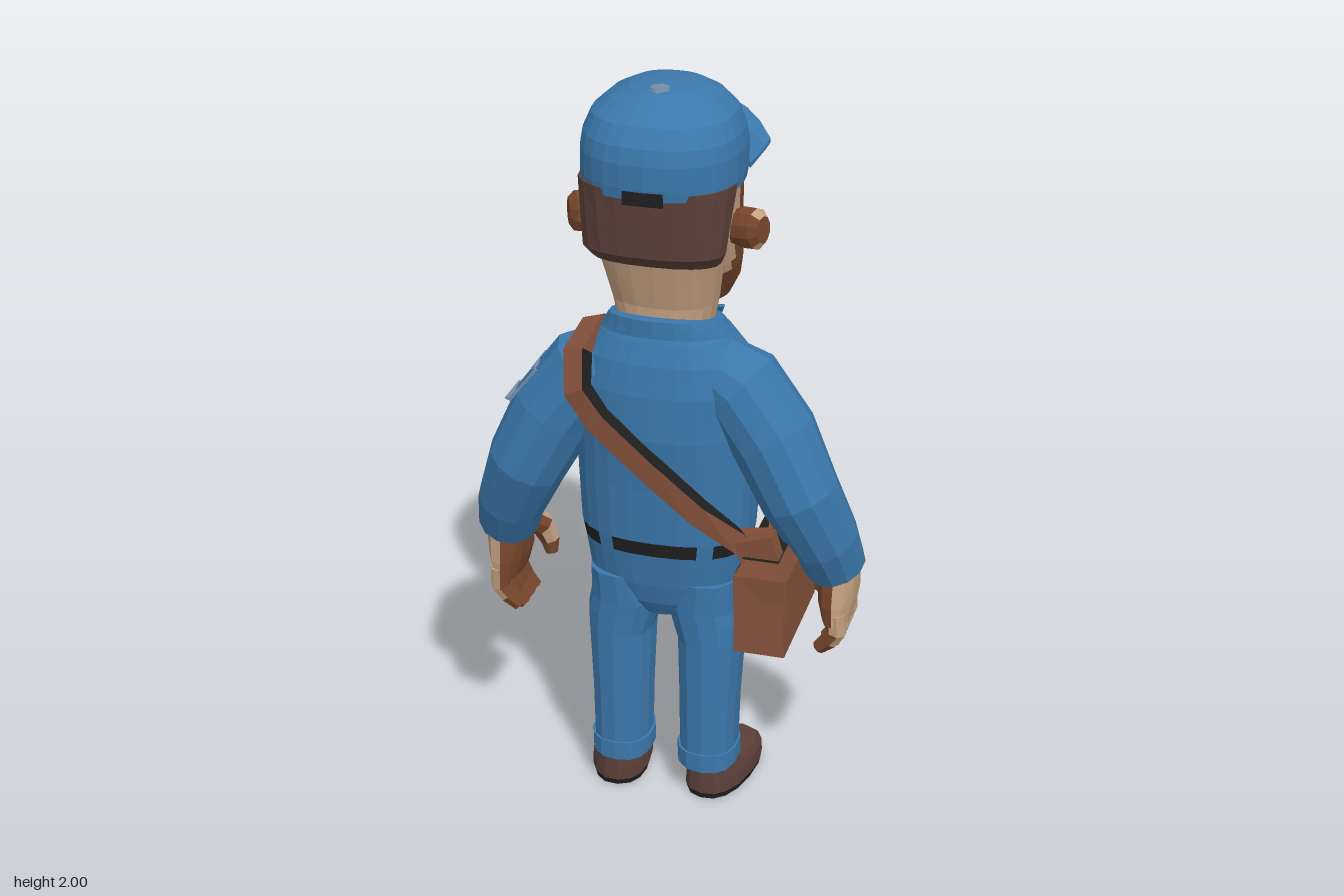
import * as THREE from 'three';

const mat = (name, color) => {
  const m = new THREE.MeshStandardMaterial({ color });
  m.name = name;
  return m;
};
const V = (x, y, z) => new THREE.Vector3(x, y, z);

// Horizontal rounded cross-section between z = f and z = b; tilt raises it toward +z
function ring(y, f, b, rx, cx = 0, n = 20, p = 2.4, tilt = 0) {
  const cz = (f + b) / 2, rz = (b - f) / 2, pts = [];
  const pw = (v) => Math.sign(v) * Math.pow(Math.abs(v), 2 / p);
  for (let i = 0; i < n; i++) {
    const a = (i / n) * Math.PI * 2 + Math.PI / 2;
    const z = rz * pw(Math.sin(a));
    pts.push(V(cx + rx * pw(Math.cos(a)), y + tilt * z, cz + z));
  }
  return pts;
}

// Round cross-sections along a path of [x, y, z, radius]
function limbRings(path, n = 12) {
  const c = path.map((p) => V(p[0], p[1], p[2]));
  return c.map((o, i) => {
    const t = c[Math.min(i + 1, c.length - 1)].clone().sub(c[Math.max(i - 1, 0)]).normalize();
    const u = t.clone().cross(V(0, 0, 1)).normalize(), v = t.clone().cross(u);
    return Array.from({ length: n }, (_, k) => {
      const a = (k / n) * Math.PI * 2, r = path[i][3];
      return o.clone().addScaledVector(u, r * Math.cos(a)).addScaledVector(v, r * Math.sin(a));
    });
  });
}

// Faceted skin over cross-sections; pick(centre, side) chooses the material index
function loft(name, rings, mats, pick = () => 0, closed = false) {
  const list = [].concat(mats), tris = [], n = rings[0].length;
  const count = closed ? rings.length : rings.length - 1;
  for (let i = 0; i < count; i++) {
    const A = rings[i], B = rings[(i + 1) % rings.length];
    for (let j = 0; j < n; j++) {
      const k = (j + 1) % n;
      const mid = V(0, 0, 0).add(A[j]).add(A[k]).add(B[j]).add(B[k]).multiplyScalar(0.25);
      const m = pick(mid, j);
      tris.push([A[j], A[k], B[k], m], [A[j], B[k], B[j], m]);
    }
  }
  if (!closed) [rings[0], rings[rings.length - 1]].forEach((R, e) => {
    const c = V(0, 0, 0);
    R.forEach((q) => c.addScaledVector(q, 1 / n));
    const m = pick(c, -1);
    for (let j = 0; j < n; j++) {
      const a = R[j], b = R[(j + 1) % n];
      tris.push(e ? [c, a, b, m] : [c, b, a, m]);
    }
  });
  let volume = 0;
  for (const [a, b, c] of tris) volume += a.dot(b.clone().cross(c));
  const pos = [], geo = new THREE.BufferGeometry();
  list.forEach((_, m) => {
    const start = pos.length / 3;
    for (const t of tris) if (t[3] === m) {
      const order = volume > 0 ? [t[0], t[1], t[2]] : [t[0], t[2], t[1]];
      order.forEach((q) => pos.push(q.x, q.y, q.z));
    }
    geo.addGroup(start, pos.length / 3 - start, m);
  });
  geo.setAttribute('position', new THREE.Float32BufferAttribute(pos, 3));
  geo.computeVertexNormals();
  const mesh = new THREE.Mesh(geo, list.length > 1 ? list : list[0]);
  mesh.name = name;
  return mesh;
}

function box(name, size, at, material, rot = [0, 0, 0]) {
  const m = new THREE.Mesh(new THREE.BoxGeometry(...size), material);
  m.name = name;
  m.position.set(...at);
  m.rotation.set(...rot);
  return m;
}

export function createModel() {
  const blue = mat('blue cloth', 0x3b78ac), skin = mat('skin', 0xc5a180);
  const brown = mat('beard brown', 0x77462c), dark = mat('dark brown', 0x5c4039);
  const black = mat('black', 0x1f1f20), grey = mat('grey', 0x768ba7), leather = mat('leather', 0x82503a);
  const teeth = mat('teeth', 0xcbbcac);
  const g = new THREE.Group();
  g.name = 'uniformedMan';
  const add = (...m) => g.add(...m);

  // Head, with the beard and sideburns as face colours
  const headRows = [[1.385, -.12, 0, .09], [1.41, -.17, .04, .13], [1.46, -.185, .07, .155], [1.51, -.187, .13, .166],
    [1.54, -.181, .16, .169], [1.57, -.175, .185, .171], [1.60, -.166, .2, .174], [1.65, -.158, .22, .177], [1.71, -.15, .23, .18], [1.79, -.135, .24, .185]];
  add(loft('head', headRows.map((r) => ring(...r, 0, 40, 2.3)), [skin, brown], (c) => {
    const front = c.y < 1.54 ? -1 : c.y < 1.6 ? -.14 + (c.y - 1.54) * 1.5 : -.05 + (c.y - 1.6) * .25;
    return c.z > front && c.z < .045 ? 1 : 0;
  }));
  add(loft('neck', [ring(1.32, -.04, .16, .11), ring(1.44, -.03, .165, .135), ring(1.6, .02, .21, .165)], [skin, brown],
    (c) => (c.z < .03 ? 1 : 0)));
  add(loft('hair', [ring(1.575, .08, .225, .163), ring(1.61, .085, .262, .18), ring(1.69, .05, .268, .188), ring(1.78, 0, .274, .197)], dark));
  add(loft('nose', [ring(1.585, -.18, -.13, .028, 0, 8), ring(1.605, -.228, -.13, .044, 0, 8), ring(1.63, -.238, -.12, .04, 0, 8),
    ring(1.69, -.2, -.12, .028, 0, 8), ring(1.765, -.158, -.11, .02, 0, 8)], skin));
  add(box('mouth', [.085, .026, .012], [0, 1.525, -.186], teeth));
  for (const s of [-1, 1]) {
    add(box('eye', [.024, .026, .01], [s * .07, 1.675, -.147], dark, [0, -s * .2, 0]));
    add(box('eyebrow', [.065, .018, .016], [s * .075, 1.75, -.138], brown, [0, -s * .25, -s * .1]));
    add(box('moustache', [.07, .022, .022], [s * .032, 1.556, -.182], brown, [0, -s * .15, -s * .3]));
    // Ear: thin oval shell, lighter on one outer face
    const ear = limbRings([[s * .15, 1.635, .06, .035], [s * .2, 1.64, .065, .055], [s * .235, 1.643, .08, .054], [s * .25, 1.643, .085, .036]], 10);
    ear.forEach((r) => r.forEach((q) => { q.z = .068 + (q.z - .068) * .65; }));
    add(loft('ear', ear, [brown, skin], (c, j) => (j >= 0 && (c.x > .235 || (c.x > .17 && c.z < .07)) ? 1 : 0)));
  }

  // Cap with badge, rear opening, button and brim
  const capRows = [[1.762, -.1, .276, .199], [1.79, -.12, .28, .202], [1.85, -.127, .281, .202], [1.89, -.116, .272, .195],
    [1.935, -.096, .244, .176], [1.968, -.073, .196, .138], [1.99, -.04, .15, .09], [2.0, 0, .08, .035]];
  add(loft('cap', capRows.map((r) => ring(...r, 0, 28)), [blue, grey],
    (c) => (c.z < -.07 && Math.abs(c.x) < .09 && c.y > 1.85 && c.y < 1.935 ? 1 : 0)));
  add(box('capOpening', [.1, .034, .009], [0, 1.768, .2765], black));
  const button = new THREE.Mesh(new THREE.CylinderGeometry(.025, .035, .018, 6), grey);
  button.name = 'capButton';
  button.position.set(0, 1.989, .12);
  add(button);
  const brim = [];
  for (let i = 0; i <= 10; i++) {
    const u = i / 5 - 1, x = u * .198, drop = .08 * u * u, tip = -.284 + .035 * u * u + .055 * u ** 4;
    brim.push([V(x, 1.828 - drop * .5, -.08 + .09 * u * u), V(x, 1.855 - drop, (tip - .1) / 2), V(x, 1.863 - drop, tip),
      V(x, 1.85 - drop, tip), V(x, 1.825 - drop * .7, (tip - .1) / 2), V(x, 1.775, -.08 + .09 * u * u)]);
  }
  add(loft('capBrim', brim, blue));

  // Shirt and hips; the belt is a painted band broken by loops, the throat shows at the top
  const torsoRows = [[.555, -.01, .14, .07], [.6, -.06, .165, .16], [.66, -.09, .18, .207], [.756, -.108, .195, .222], [.796, -.113, .2, .23],
    [.95, -.132, .21, .238], [1.1, -.132, .225, .235], [1.22, -.112, .222, .23], [1.3, -.08, .208, .21], [1.355, -.06, .19, .165], [1.4, -.03, .17, .11]];
  add(loft('torso', torsoRows.map((r) => ring(...r, 0, 28)), [blue, black, brown], (c, j) => {
    if (c.y > 1.32 && c.z < -.04 && Math.abs(c.x) < .035) return 2;
    return c.y > .76 && c.y < .79 && ![2, 6, 9, 11, 16, 18, 21, 25].includes(j) ? 1 : 0;
  }));
  add(box('beltBuckle', [.085, .052, .02], [0, .777, -.113], grey));
  add(loft('collar', [ring(1.35, -.085, .2, .17, 0, 20, 2.2, .16), ring(1.39, -.07, .2, .145, 0, 20, 2.2, .22), ring(1.395, -.045, .175, .115, 0, 20, 2.2, .22)],
    [blue, brown], (c, j) => (j >= 0 && c.z < -.05 && Math.abs(c.x) < .03 ? 1 : 0)));
  for (const s of [-1, 1]) {
    const wing = (d) => [V(s * .02, 1.355, -.075 - d), V(s * .12, 1.375, -.04 - d), V(s * .085, 1.29, -.096 - d)];
    add(loft('collarWing', [wing(0), wing(.018)], blue));
  }
  add(box('pocket', [.1, .1, .02], [-.145, 1.11, -.113], blue, [0, .3, 0]));
  add(box('pocketFlap', [.112, .035, .022], [-.145, 1.155, -.115], blue, [0, .3, 0]));

  for (const s of [-1, 1]) {
    // Trouser leg, turned-up cuff and shoe
    add(loft('trouserLeg', [ring(.09, -.018, .162, .076, s * .12, 14), ring(.3, -.03, .166, .08, s * .121, 14),
      ring(.48, -.045, .168, .088, s * .123, 14), ring(.54, -.055, .17, .098, s * .114, 14), ring(.58, -.065, .172, .1, s * .105, 14),
      ring(.67, -.088, .178, .096, s * .11, 14)], blue));
    add(loft('trouserCuff', [ring(.1, -.028, .168, .083, s * .12, 14), ring(.148, -.026, .168, .083, s * .12, 14)], blue));
    const shoe = loft('shoe', [ring(.004, -.15, .155, .078, 0, 16), ring(.02, -.155, .158, .082, 0, 16), ring(.055, -.153, .157, .08, 0, 16),
      ring(.078, -.125, .156, .073, 0, 16), ring(.1, -.02, .153, .062, 0, 16)], [dark, black], (c) => (c.y < .015 ? 1 : 0));
    shoe.position.set(s * .146, 0, 0);
    shoe.rotation.y = -s * .18;
    add(shoe);

    // Sleeve with a sloping shoulder
    add(loft('sleeve', limbRings([[s * .1, 1.28, .08, .085], [s * .2, 1.225, .09, .112], [s * .29, 1.1, .1, .115],
      [s * .365, .95, .113, .106], [s * .425, .81, .075, .092], [s * .45, .72, .04, .08]]), blue));

    // Hand with curled fingers; the palm side is darker
    const inside = (limit) => (c) => (Math.abs(c.x) < limit && c.y < .72 ? 1 : 0);
    add(loft('palm', [ring(.76, -.03, .09, .05, s * .45, 12), ring(.7, -.055, .1, .055, s * .455, 12), ring(.62, -.095, .11, .05, s * .454, 12),
      ring(.565, -.08, .108, .038, s * .456, 12)], [skin, brown], inside(.446)));
    for (let i = 0; i < 4; i++) {
      const z = .083 - i * .047, d = i === 0 ? .02 : 0;
      add(loft('finger', limbRings([[s * .462, .6, z, .027], [s * .465, .54, z - .005, .027], [s * .445, .49 + d, z - .01, .025],
        [s * .415, .46 + d, z - .012, .018]], 7), [skin, brown], inside(.456)));
    }
    add(loft('thumb', limbRings([[s * .435, .69, -.04, .036], [s * .4, .65, -.088, .034], [s * .383, .6, -.103, .028], [s * .378, .56, -.1, .018]], 8),
      [skin, brown], (c) => (c.y < .62 || c.z > -.06 ? 1 : 0)));
  }

  // Outlined patch on one sleeve
  const patch = new THREE.Group();
  patch.name = 'sleevePatch';
  for (const e of [-1, 1]) {
    patch.add(box('patchEdge', [.009, .01, .1], [0, e * .06, 0], grey));
    patch.add(box('patchEdge', [.009, .12, .008], [-.008, 0, e * .05], grey));
  }
  patch.position.set(-.368, 1.184, .095);
  patch.rotation.z = 2.475;
  add(patch);

  // Shoulder strap: [position, outward direction] around the body, with a dark lining
  const strapPath = [[-.185, 1.348, .08, -.3, 1, 0], [-.2, 1.315, .19, -.3, .6, .8], [-.185, 1.23, .243, -.2, .1, 1], [-.13, 1.155, .25, 0, 0, 1],
    [0, 1.04, .25, 0, 0, 1], [.13, .925, .24, .1, 0, 1], [.23, .845, .215, .6, 0, .8], [.285, .8, .09, 1, .2, 0],
    [.235, .845, -.075, .6, 0, -.8], [.13, .94, -.128, .2, 0, -1], [0, 1.06, -.14, 0, 0, -1], [-.12, 1.18, -.125, -.1, .2, -1],
    [-.185, 1.29, -.07, -.3, .5, -.8]];
  const sp = strapPath.map((p) => V(p[0], p[1], p[2])), L = sp.length;
  add(loft('shoulderStrap', sp.map((o, i) => {
    const t = sp[(i + 1) % L].clone().sub(sp[(i + L - 1) % L]).normalize();
    const n = V(strapPath[i][3], strapPath[i][4], strapPath[i][5]).normalize();
    const w = n.clone().cross(t).normalize(), inner = o.z > .15 ? -.03 : 0;
    return [[-.028, inner], [.028, inner], [.028, .018], [-.028, .018]].map(([a, b]) => o.clone().addScaledVector(w, a).addScaledVector(n, b));
  }), [leather, black], (c, j) => (j === 0 || (j === 1 && c.z > .15) ? 1 : 0), true));

  // Satchel with dark inner side and top, flap and strap tabs; the front end is slightly skewed
  const slab = (y, x0, x1, z0, z1) => [V(x0, y, z0 - .025), V(x1, y, z0 + .025), V(x1, y, z1), V(x0, y, z1)];
  add(loft('satchel', [slab(.56, .237, .37, -.1, .277), slab(.77, .23, .36, -.11, .262), slab(.81, .25, .34, -.1, .25)], [leather, black],
    (c) => (c.x < .25 ? 1 : 0)));
  add(loft('satchelFlap', [slab(.65, .36, .376, -.105, .265), slab(.775, .245, .37, -.112, .268), slab(.818, .25, .345, -.1, .252)], [leather, black],
    (c, j) => ((j < 0 && c.y > .8) || c.x < .25 ? 1 : 0)));
  for (const [z, depth] of [[-.09, .07], [.215, .05]]) add(box('strapTab', [.1, .075, depth], [.285, .832, z], leather, [0, 0, .3]));
  return g;
}
